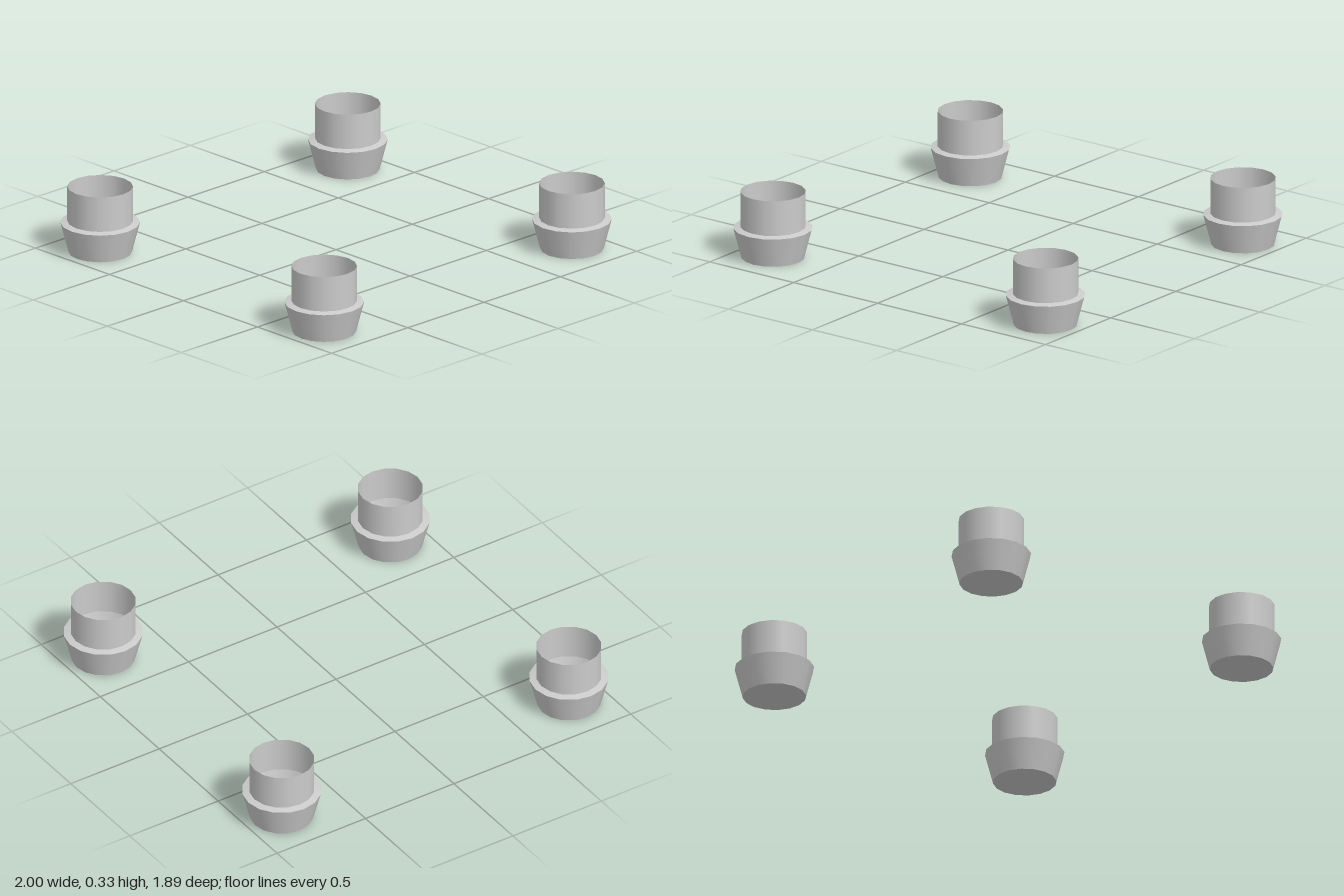
import * as THREE from 'three';

const SIDES = 16;
const material = new THREE.MeshStandardMaterial({ color: 0xcccccc, side: THREE.DoubleSide });

// One band of the turned profile; separate bands keep the rims sharp
function band(name, r0, y0, r1, y1) {
  const points = [new THREE.Vector2(r0, y0), new THREE.Vector2(r1, y1)];
  const mesh = new THREE.Mesh(new THREE.LatheGeometry(points, SIDES), material);
  mesh.name = name;
  return mesh;
}

// Open cup: closed base, flared collar, ledge and thin upright sleeve
function createFoot() {
  const foot = new THREE.Group();
  foot.add(
    band('base', 0, 0, 0.15, 0),
    band('flaredCollar', 0.15, 0, 0.188, 0.147),
    band('ledge', 0.188, 0.147, 0.155, 0.154),
    band('sleeve', 0.155, 0.154, 0.155, 0.326)
  );
  return foot;
}

export function createModel() {
  const model = new THREE.Group();
  model.name = 'footSet';
  // Four feet at the corners of a rectangle
  for (const [sx, side] of [[1, 'Left'], [-1, 'Right']]) {
    for (const [sz, end] of [[1, 'front'], [-1, 'back']]) {
      const foot = createFoot();
      foot.name = `${end}${side}Foot`;
      foot.position.set(sx * 0.812, 0, sz * 0.757);
      model.add(foot);
    }
  }
  return model;
}
